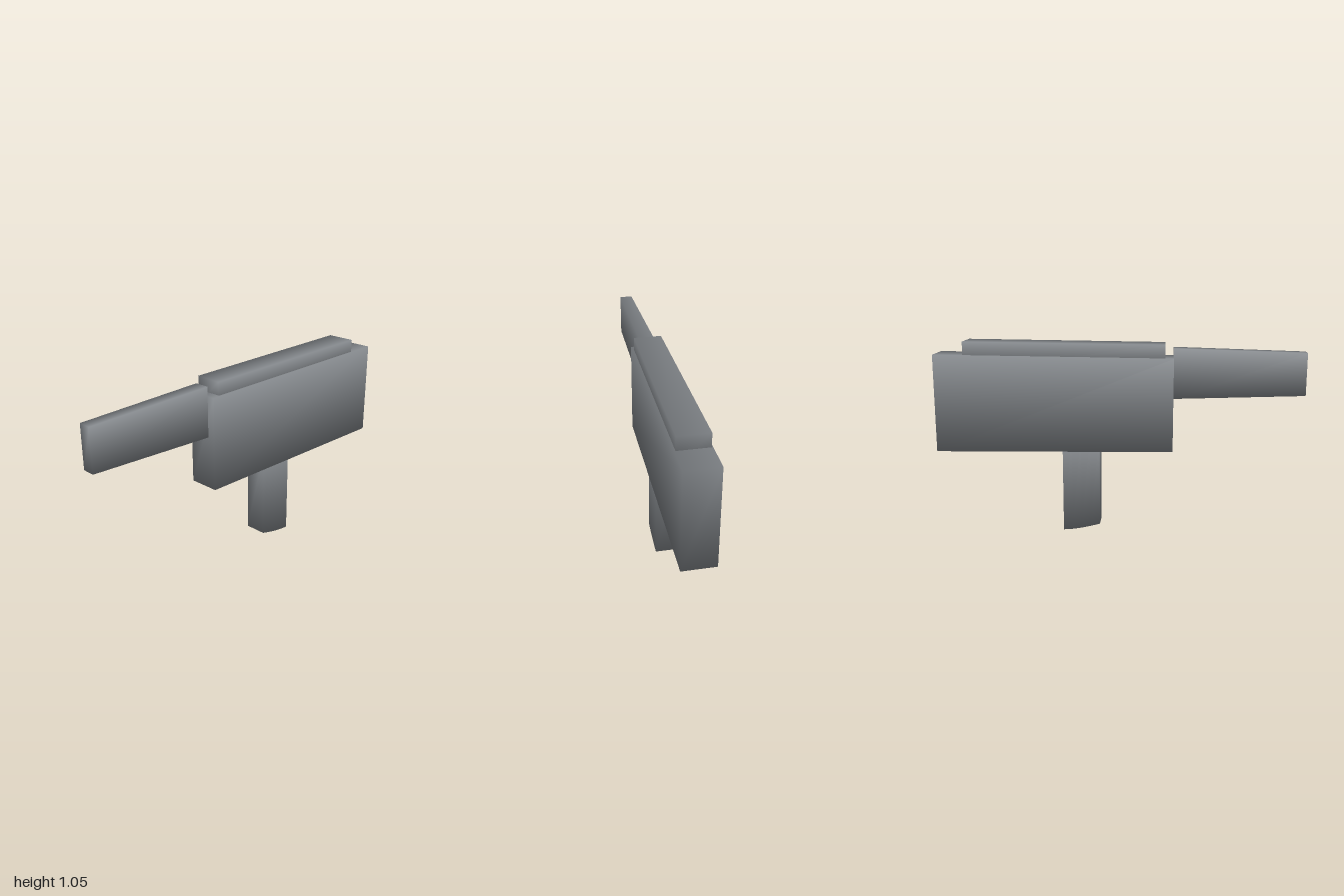
import * as THREE from 'three';

const material = new THREE.MeshStandardMaterial({ color: 0x808488 });

// Block lofted from a front section to a back section, each { z, w (half width), y0, y1 }.
// All corner normals fan outward around the z axis, so the long sides shade as one soft tube.
function taperedBlock(name, front, back, bottomRule, segments = 1) {
  const geo = new THREE.BoxGeometry(1, 1, 1, 1, 1, segments);
  const p = geo.attributes.position;
  const n = geo.attributes.normal;
  for (let i = 0; i < p.count; i++) {
    const t = 0.5 - p.getZ(i); // 0 at the front, 1 at the back
    const mix = (key) => THREE.MathUtils.lerp(front[key], back[key], t);
    const sx = Math.sign(p.getX(i));
    const sy = Math.sign(p.getY(i));
    const low = bottomRule ? bottomRule(t) : mix('y0');
    p.setXYZ(i, sx * mix('w'), sy > 0 ? mix('y1') : low, mix('z'));
    n.setXYZ(i, sx * Math.SQRT1_2, sy * Math.SQRT1_2, 0);
  }
  const mesh = new THREE.Mesh(geo, material);
  mesh.name = name;
  return mesh;
}

export function createModel() {
  const model = new THREE.Group();
  model.name = 'blaster';
  model.add(
    // main housing
    taperedBlock('body',
      { z: 0.295, w: 0.085, y0: 0.463, y1: 0.97 },
      { z: -1, w: 0.087, y0: 0.45, y1: 0.983 }),
    // raised rail, sunk into the housing
    taperedBlock('topRail',
      { z: 0.25, w: 0.075, y0: 0.9, y1: 1.042 },
      { z: -0.837, w: 0.08, y0: 0.9, y1: 1.053 }),
    // narrowing barrel
    taperedBlock('barrel',
      { z: 1, w: 0.035, y0: 0.77, y1: 1.0 },
      { z: 0.294, w: 0.041, y0: 0.748, y1: 1.02 }),
    // handle with a gently curved foot, reaching up into the housing
    taperedBlock('grip',
      { z: -0.104, w: 0.062, y0: 0, y1: 0.56 },
      { z: -0.307, w: 0.062, y0: 0, y1: 0.56 },
      (t) => 0.038 * (1 - t) ** 1.6, 4),
  );
  return model;
}
